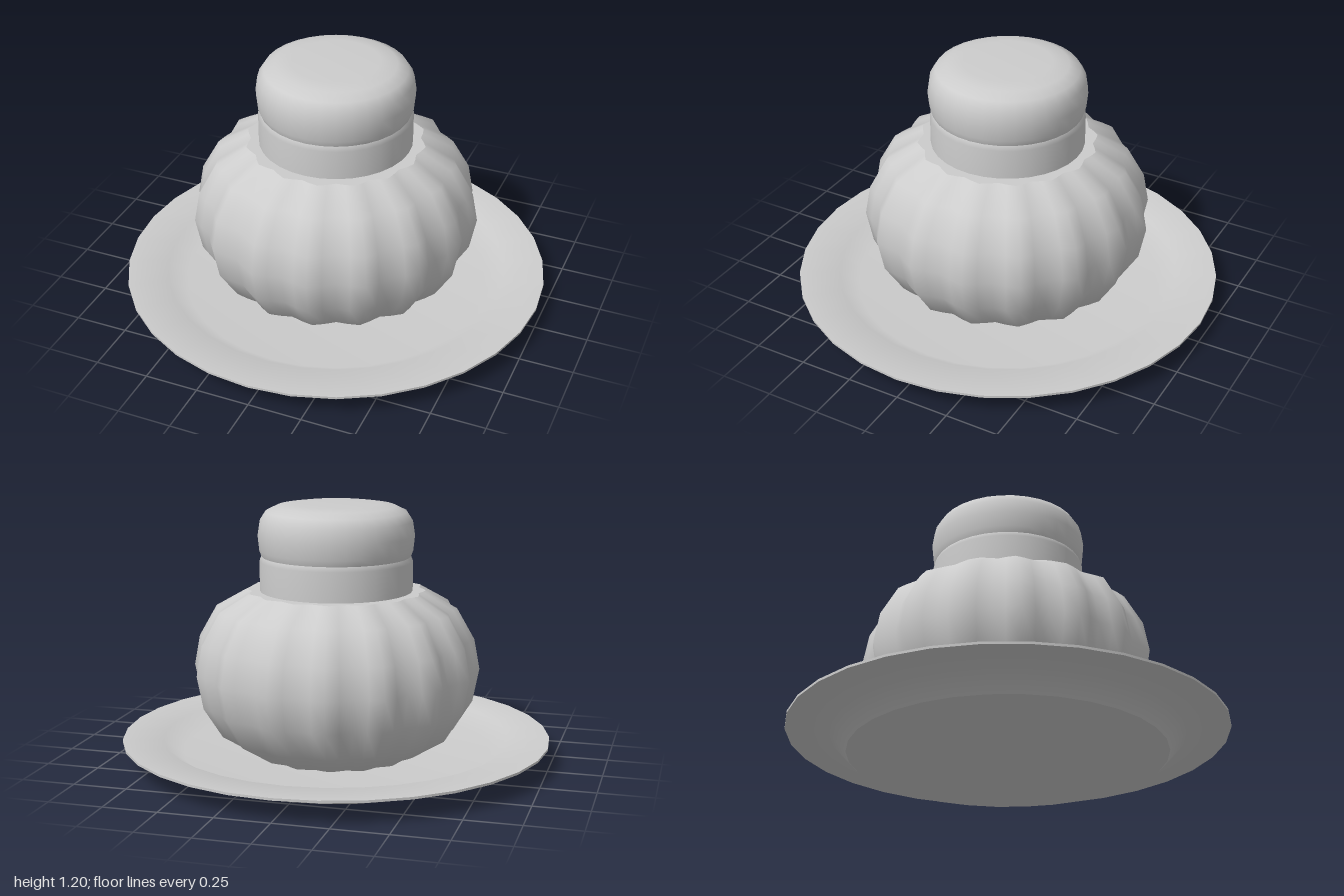
import * as THREE from 'three';
import { toCreasedNormals } from 'three/addons/utils/BufferGeometryUtils.js';

const ceramic = new THREE.MeshStandardMaterial({ color: 0xcccccc });
ceramic.name = 'pale grey ceramic';

// Turned surface from [radius, height] points, running up the outside and in over the top
function turned(profile, segments = 32) {
  return new THREE.LatheGeometry(profile.map(([r, y]) => new THREE.Vector2(r, y)), segments);
}

// Push a turned surface in and out into 16 shallow lobes, with grooves on the axes
function fluted(geometry) {
  const pos = geometry.attributes.position;
  for (let i = 0; i < pos.count; i++) {
    const x = pos.getX(i), z = pos.getZ(i);
    const k = 0.97 - 0.03 * Math.cos(16 * Math.atan2(x, z));
    pos.setXYZ(i, x * k, pos.getY(i), z * k);
  }
  return toCreasedNormals(geometry, Math.PI * 0.9);
}

function part(name, geometries) {
  const group = new THREE.Group();
  group.name = name;
  geometries.forEach((geometry, i) => {
    const mesh = new THREE.Mesh(geometry, ceramic);
    mesh.name = `${name}Surface${i + 1}`;
    group.add(mesh);
  });
  return group;
}

export function createModel() {
  const model = new THREE.Group();
  model.name = 'lobedJarOnSaucer';

  // Saucer: flat foot, flared underside, thin edge, and a sunken well on top
  model.add(part('saucer', [
    turned([[0, 0], [0.725, 0]]),
    turned([[0.725, 0], [0.81, 0.088], [1, 0.097]]),
    turned([[1, 0.097], [1, 0.108]]),
    turned([[1, 0.108], [0.81, 0.1], [0.72, 0.035], [0, 0.035]]),
  ]));

  // Lobed body with a flat shoulder and base
  model.add(part('body', [
    fluted(turned([
      [0.39, 0.035], [0.55, 0.135], [0.638, 0.275], [0.668, 0.43],
      [0.642, 0.57], [0.56, 0.715], [0.415, 0.797],
    ], 64)),
    fluted(turned([[0, 0.035], [0.39, 0.035]], 64)),
    fluted(turned([[0.415, 0.797], [0, 0.797]], 64)),
  ]));

  // Straight collar, slightly eased at its top edge
  model.add(part('collar', [
    turned([[0.354, 0.79], [0.354, 0.935], [0.345, 0.957]]),
    turned([[0.345, 0.957], [0, 0.957]]),
  ]));

  // Cushion-shaped lid
  model.add(part('lid', [
    turned([
      [0.345, 0.957], [0.355, 0.985], [0.362, 1.055], [0.352, 1.12],
      [0.325, 1.162], [0.275, 1.186], [0.2, 1.197], [0, 1.197],
    ]),
  ]));

  return model;
}
